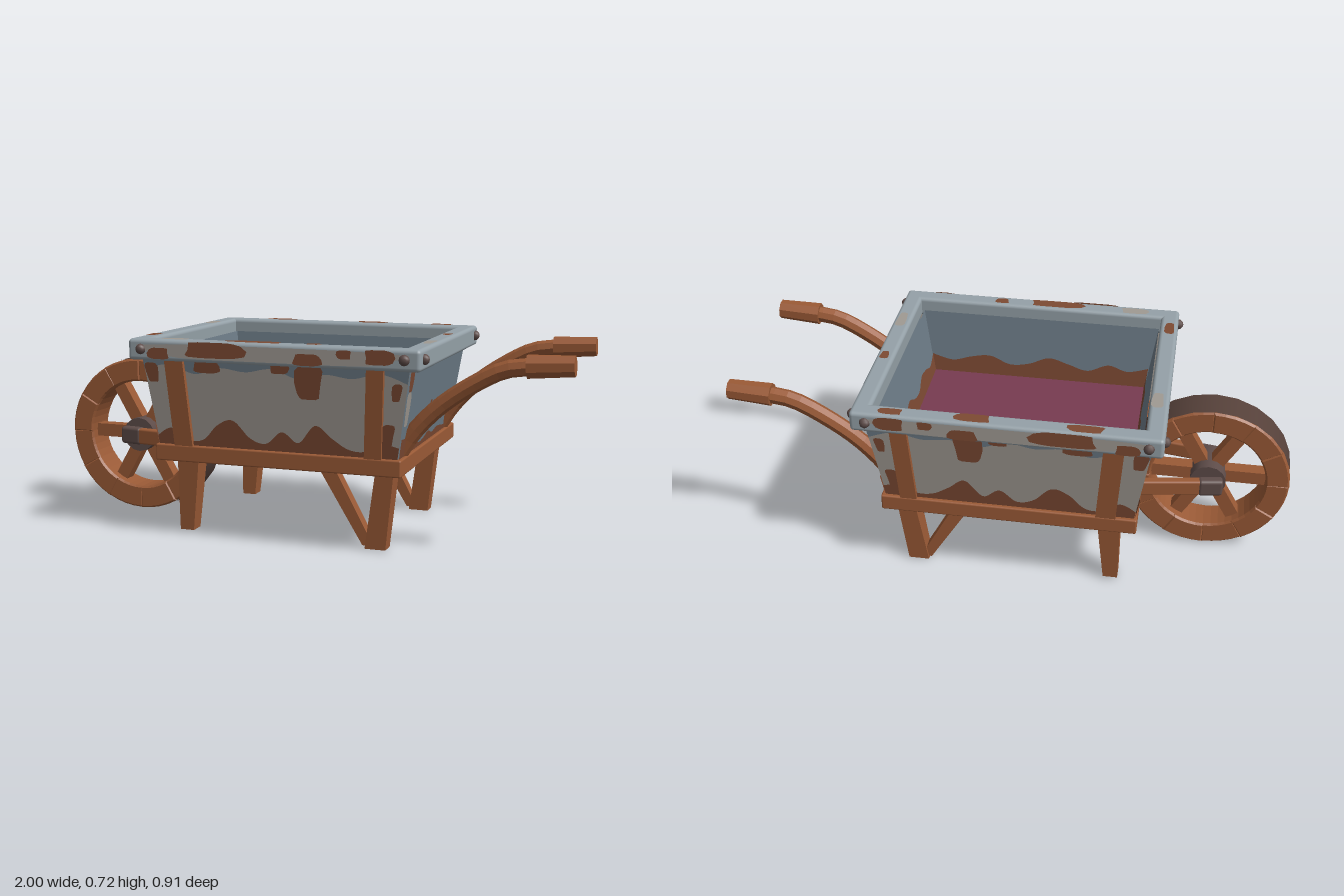
import * as THREE from 'three';
import { RoundedBoxGeometry } from 'three/addons/geometries/RoundedBoxGeometry.js';

const paint = (name, color, thin) => {
  const m = new THREE.MeshStandardMaterial({ color });
  m.name = name;
  if (thin) m.side = THREE.DoubleSide;
  return m;
};

export function createModel() {
  const wood = paint('wood', 0x9a5a36);
  const tread = paint('wheel tread', 0x56413a);
  const iron = paint('dark iron', 0x5e4c49);
  const rust = paint('rust', 0x7d4a33, true);
  const blue = paint('blue grey paint', 0x6e7d88, true);
  const pale = paint('weathered paint', 0xa09a93, true);
  const trim = paint('rim paint', 0x95a1a8);
  const crimson = paint('floor red', 0x783b51, true);

  const root = new THREE.Group();
  root.name = 'wheelbarrow';
  const add = (name, geo, mat, x = 0, y = 0, z = 0, parent = root) => {
    const m = new THREE.Mesh(geo, mat);
    m.name = name;
    m.position.set(x, y, z);
    parent.add(m);
    return m;
  };
  const facet = (geo) => {
    const g = geo.index ? geo.toNonIndexed() : geo;
    g.computeVertexNormals();
    return g;
  };
  // Four-sided beam between two horizontal rectangles [x0, x1, z0, z1]
  const beam = (name, y0, a, y1, b, mat = wood) => {
    const g = new THREE.BoxGeometry(1, 1, 1);
    const p = g.attributes.position;
    for (let i = 0; i < p.count; i++) {
      const r = p.getY(i) < 0 ? a : b;
      p.setXYZ(i, p.getX(i) < 0 ? r[0] : r[1], p.getY(i) < 0 ? y0 : y1, p.getZ(i) < 0 ? r[2] : r[3]);
    }
    return add(name, facet(g), mat);
  };
  // Flat shape bent onto a surface by a mapping rule
  const decal = (name, shape, mat, map) => {
    const g = new THREE.ShapeGeometry(shape, 8);
    const p = g.attributes.position;
    for (let i = 0; i < p.count; i++) p.setXYZ(i, ...map(p.getX(i), p.getY(i)));
    g.computeVertexNormals();
    return add(name, g, mat);
  };
  const poly = (pts) => new THREE.Shape(pts.map((p) => new THREE.Vector2(...p)));
  const blob = (x, y, w, h) => {
    const pts = [];
    for (let i = 0; i < 14; i++) {
      const a = (i / 14) * Math.PI * 2;
      const r = 1 + 0.14 * Math.sin(a * 3 + x * 20);
      const sq = (v) => Math.sign(v) * Math.sqrt(Math.abs(v));
      pts.push([x + sq(Math.cos(a)) * r * w / 2, y + sq(Math.sin(a)) * h / 2]);
    }
    return poly(pts);
  };
  // Band with one wavy edge, u running from -1 to 1
  const band = (base, edge) => {
    const s = new THREE.Shape();
    s.moveTo(-1, base).lineTo(-1, edge[0]);
    s.splineThru(edge.slice(1).map((y, i) => new THREE.Vector2(-1 + (2 * (i + 1)) / (edge.length - 1), y)));
    s.lineTo(1, base);
    return s;
  };

  // Base board
  add('base', new RoundedBoxGeometry(0.91, 0.06, 0.78, 2, 0.006), wood, -0.01, 0.31, 0);

  // Flared tub walls, inside and outside
  const zAt = (y) => 0.372 + 0.1 * (y - 0.34);
  const xAt = (y) => 0.442 + 0.15 * (y - 0.34);
  const wall = (axis, s, off) => (u, y) => (axis === 'z'
    ? [-0.0125 + u * (xAt(y) + Math.min(off, 0)), y, s * (zAt(y) + off)]
    : [-0.0125 + s * (xAt(y) + off), y, u * (zAt(y) + Math.min(off, 0))]);
  const sheet = poly([[-1, 0.34], [1, 0.34], [1, 0.67], [-1, 0.67]]);
  const low = [0.37, 0.40, 0.36, 0.365, 0.42, 0.44, 0.38, 0.365, 0.41, 0.375, 0.44, 0.40, 0.365, 0.36, 0.39, 0.38];
  const lowEnd = [0.42, 0.39, 0.36, 0.365, 0.37, 0.36, 0.375, 0.36, 0.355, 0.37, 0.365, 0.40, 0.41];
  const inner = [0.50, 0.48, 0.50, 0.47, 0.49, 0.51, 0.48, 0.47, 0.50, 0.49, 0.47, 0.49];
  const top = [0.61, 0.63, 0.60, 0.625, 0.615, 0.63, 0.60, 0.62, 0.61, 0.63, 0.60];
  for (const s of [1, -1]) {
    decal('sideWallOuter', sheet, pale, wall('z', s, 0));
    decal('endWallOuter', sheet, blue, wall('x', s, 0));
    for (const axis of ['z', 'x']) {
      decal('wallInner', sheet, blue, wall(axis, s, -0.036));
      decal('innerRust', band(0.41, inner), rust, wall(axis, s, -0.039));
    }
    decal('sideRust', band(0.34, low), rust, wall('z', s, 0.004));
    decal('endRust', band(0.34, lowEnd), rust, wall('x', s, 0.004));
    decal('sideUpperPaint', band(0.66, top), blue, wall('z', s, 0.002));
    for (const [u, y, w, h] of [[0.28, 0.59, 0.2, 0.12], [0.06, 0.635, 0.14, 0.04], [-0.5, 0.63, 0.2, 0.05], [-0.94, 0.6, 0.1, 0.07], [0.9, 0.42, 0.1, 0.08], [0.93, 0.57, 0.07, 0.06]])
      decal('sideRustPatch', blob(u, y, w, h), rust, wall('z', s, 0.005));
    decal('endPalePatch', blob(0.92, 0.51, 0.13, 0.12), pale, wall('x', s, 0.003));
    decal('endRustPatch', blob(0.92, 0.61, 0.13, 0.08), rust, wall('x', s, 0.004));
    decal('endRustSpot', blob(0.06, 0.48, 0.06, 0.03), rust, wall('x', s, 0.004));
  }
  decal('tubFloor', poly([[-0.44, -0.35], [0.42, -0.35], [0.42, 0.35], [-0.44, 0.35]]), crimson, (x, z) => [x, 0.42, z]);

  // Rim, its worn paint and its corner bolts
  const bolt = new THREE.SphereGeometry(0.019, 8, 6);
  for (const s of [1, -1]) {
    add('rimSide', new RoundedBoxGeometry(1.06, 0.075, 0.066, 3, 0.014), trim, -0.01, 0.6825, s * 0.405);
    add('rimEnd', new RoundedBoxGeometry(0.066, 0.075, 0.86, 3, 0.014), trim, -0.01 + s * 0.497, 0.6825, 0);
    decal('rimFacePaint', blob(-0.01, 0.6825, 0.92, 0.052), pale, (x, y) => [x, y, s * 0.4395]);
    for (const [x, y, w, h] of [[-0.21, 0.69, 0.22, 0.055], [0.13, 0.672, 0.1, 0.04], [0.38, 0.69, 0.1, 0.05], [-0.42, 0.672, 0.08, 0.04], [0.26, 0.695, 0.05, 0.03]])
      decal('rimFaceRust', blob(x, y, w, h), rust, (a, b) => [a, b, s * 0.442]);
    for (const x of [-0.49, 0.465]) add('rimBolt', bolt, iron, x, 0.685, s * 0.438);
    for (const x of [-0.54, 0.52]) add('rimBolt', bolt, iron, x, 0.685, s * 0.39);
  }
  for (const [x, z, w, d] of [[-0.28, -0.41, 0.12, 0.04], [0.1, -0.405, 0.12, 0.045], [0.38, -0.41, 0.08, 0.035], [-0.07, 0.405, 0.2, 0.045], [0.14, 0.4, 0.05, 0.035], [-0.51, 0.29, 0.035, 0.08], [0.49, -0.06, 0.03, 0.05]])
    decal('rimTopRust', blob(x, z, w, d), rust, (a, b) => [a, 0.722, b]);
  for (const [x, z, w, d] of [[0.49, 0.2, 0.035, 0.1], [-0.5, -0.2, 0.04, 0.09], [-0.37, 0.4, 0.1, 0.04]])
    decal('rimTopWear', blob(x, z, w, d), pale, (a, b) => [a, 0.7215, b]);

  // Posts, legs, struts, handles and wheel forks, mirrored across the middle
  const span = (s, a, b) => (s > 0 ? [a, b] : [-b, -a]);
  for (const s of [1, -1]) {
    beam('frontPost', 0.335, [-0.39, -0.32, ...span(s, 0.36, 0.388)], 0.65, [-0.41, -0.34, ...span(s, 0.39, 0.42)]);
    beam('rearPost', 0.335, [0.315, 0.375, ...span(s, 0.36, 0.388)], 0.65, [0.33, 0.39, ...span(s, 0.39, 0.42)]);
    beam('frontLeg', 0.012, [-0.405, -0.352, ...span(s, 0.266, 0.322)], 0.285, [-0.405, -0.322, ...span(s, 0.26, 0.335)]);
    beam('rearLeg', 0.005, [0.3, 0.375, ...span(s, 0.266, 0.322)], 0.285, [0.34, 0.405, ...span(s, 0.26, 0.335)]);
    beam('legStrut', 0.015, [0.29, 0.33, ...span(s, 0.272, 0.316)], 0.285, [0.125, 0.185, ...span(s, 0.272, 0.316)]);

    const path = new THREE.CatmullRomCurve3([[0.4, 0.325], [0.46, 0.42], [0.55, 0.515], [0.67, 0.6], [0.77, 0.65], [0.87, 0.664]]
      .map(([x, y]) => new THREE.Vector3(x, y, s * 0.29)));
    add('handle', facet(new THREE.TubeGeometry(path, 14, 0.03, 8)), wood);
    const grip = add('grip', facet(new THREE.CylinderGeometry(0.036, 0.041, 0.155, 8).rotateY(Math.PI / 8)), wood, 0.918, 0.667, s * 0.29);
    grip.rotation.z = -Math.PI / 2 + 0.05;

    const fork = add('wheelFork', new RoundedBoxGeometry(0.32, 0.06, 0.035, 2, 0.008), wood, -0.585, 0.303, s * 0.12);
    fork.rotation.y = -s * 0.16;
    const cap = add('forkCap', new RoundedBoxGeometry(0.09, 0.066, 0.041, 2, 0.012), iron, -0.71, 0.303, s * 0.1);
    cap.rotation.y = -s * 0.16;
  }

  // Wheel: twelve rim blocks, tread, six spokes, hub
  const wheel = new THREE.Group();
  wheel.name = 'wheel';
  wheel.position.set(-0.7, 0.3, 0);
  root.add(wheel);
  const step = Math.PI / 6;
  const arc = new THREE.Shape();
  const [a0, a1] = [0.012, step - 0.012];
  arc.absarc(0, 0, 0.288, a0, a1, false);
  arc.absarc(0, 0, 0.216, a1, a0, true);
  const block = new THREE.ExtrudeGeometry(arc, { depth: 0.112, curveSegments: 2, bevelSize: 0.007, bevelThickness: 0.008, bevelSegments: 1 });
  block.translate(0, 0, -0.056);
  for (let i = 0; i < 12; i++) {
    const b = add('rimBlock', block, wood, 0, 0, 0, wheel);
    b.rotation.z = i * step;
    b.scale.z = i % 2 ? 1 : 0.95;
  }
  add('tread', new THREE.CylinderGeometry(0.2985, 0.2985, 0.116, 24, 1, true).rotateX(Math.PI / 2), tread, 0, 0, 0, wheel);
  for (let i = 0; i < 6; i++) {
    const a = i * Math.PI / 3;
    const spoke = add('spoke', new THREE.BoxGeometry(0.18, 0.05, 0.05), wood, Math.cos(a) * 0.135, Math.sin(a) * 0.135, 0, wheel);
    spoke.rotation.z = a;
  }
  add('hub', new THREE.CylinderGeometry(0.066, 0.066, 0.14, 14).rotateX(Math.PI / 2), iron, 0, 0, 0, wheel);
  add('axle', new THREE.CylinderGeometry(0.022, 0.022, 0.21, 10).rotateX(Math.PI / 2), iron, 0, 0, 0, wheel);
  return root;
}
